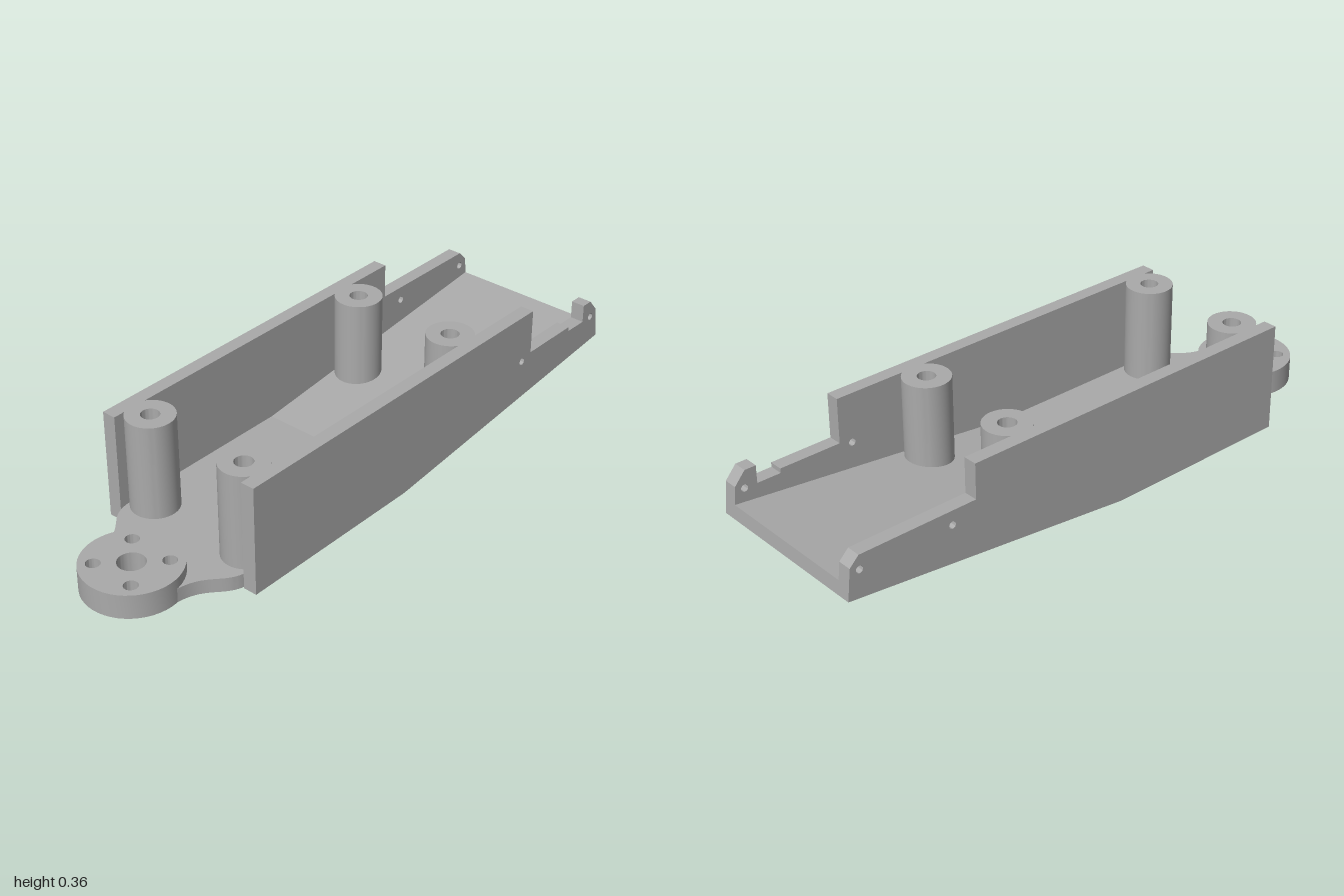
import * as THREE from 'three';
import { toCreasedNormals } from 'three/addons/utils/BufferGeometryUtils.js';

const FLOOR = 0.046;           // floor thickness
const INNER = 0.247;           // inner face of the side walls
const OUTER = 0.293;           // outer face of the side walls
const TOP = 0.36;              // height of walls and posts
const POST_Z = 0.183;

const polygon = (points) => new THREE.Shape(points.map(([x, y]) => new THREE.Vector2(x, y)));

function addHole(shape, x, y, r) {
  shape.holes.push(new THREE.Path().absarc(x, y, r, 0, Math.PI * 2, true));
}

function disc(x, y, r) {
  return new THREE.Shape().absarc(x, y, r, 0, Math.PI * 2, false);
}

function extrude(shape, depth) {
  const geo = new THREE.ExtrudeGeometry(shape, { depth, bevelEnabled: false, curveSegments: 24 });
  return toCreasedNormals(geo, 0.6);
}

export function createModel() {
  const group = new THREE.Group();
  const grey = new THREE.MeshStandardMaterial({ color: 0xaaaaaa });
  grey.name = 'plain grey';

  const add = (name, geo) => {
    const mesh = new THREE.Mesh(geo, grey);
    mesh.name = name;
    group.add(mesh);
  };
  // Side profile spanning z0..z1
  const addProfile = (name, shape, z0, z1) => add(name, extrude(shape, z1 - z0).translate(0, 0, z0));
  // Plan outline spanning y0..y1
  const addPlan = (name, shape, y0, y1) =>
    add(name, extrude(shape, y1 - y0).rotateX(-Math.PI / 2).translate(0, y0, 0));

  // Side walls: common underside, different cut-outs along the top
  const under = [[-0.655, 0], [0, 0], [1, 0.11], [0.989, 0.213]];
  const frontWall = polygon([...under, [0.953, 0.255], [0.915, 0.255], [0.915, 0.196],
    [0.835, 0.196], [0.835, 0.211], [0.625, 0.211], [0.625, TOP], [-0.655, TOP]]);
  addHole(frontWall, 0.58, 0.197, 0.012);
  addHole(frontWall, 0.958, 0.197, 0.012);
  addProfile('frontWall', frontWall, INNER, OUTER);

  const backWall = polygon([...under, [0.958, 0.244], [0.555, 0.244], [0.555, TOP], [-0.655, TOP]]);
  addHole(backWall, 0.64, 0.197, 0.012);
  addHole(backWall, 0.958, 0.197, 0.012);
  addProfile('backWall', backWall, -OUTER, -INNER);

  // Sloping half of the floor
  addProfile('slopedFloor', polygon([[0, 0], [1, 0.11], [0.995, 0.156], [0, FLOOR]]), -INNER, INNER);

  // Flat half of the floor, flowing into the mounting disc
  const cx = -0.847, cr = 0.153, a = 1.4;
  const dx = cx + cr * Math.cos(a), dz = cr * Math.sin(a);
  const flat = new THREE.Shape();
  flat.moveTo(0, -INNER);
  flat.lineTo(0, INNER);
  flat.lineTo(-0.62, INNER);
  flat.bezierCurveTo(-0.72, 0.243, -0.71, 0.165, dx, dz);
  flat.absarc(cx, 0, cr, a, -a, true);
  flat.bezierCurveTo(-0.71, -0.165, -0.72, -0.243, -0.62, -INNER);
  flat.lineTo(0, -INNER);
  for (const s of [-1, 1]) addHole(flat, -0.575, s * POST_Z, 0.029);
  addPlan('flatFloor', flat, 0, FLOOR);

  // Mounting disc with a centre bore and four screw holes
  const mount = disc(cx, 0, cr);
  addHole(mount, cx, 0, 0.043);
  for (const sx of [-1, 1]) for (const sz of [-1, 1]) addHole(mount, cx + sx * 0.076, sz * 0.076, 0.022);
  addPlan('mountingDisc', mount, 0, 0.08);

  // Hollow screw posts
  for (const [x, y0] of [[-0.575, FLOOR], [0.345, 0.06]]) {
    for (const s of [-1, 1]) {
      const post = disc(x, s * POST_Z, 0.076);
      addHole(post, x, s * POST_Z, 0.029);
      addPlan('screwPost', post, y0, TOP);
    }
  }
  return group;
}
